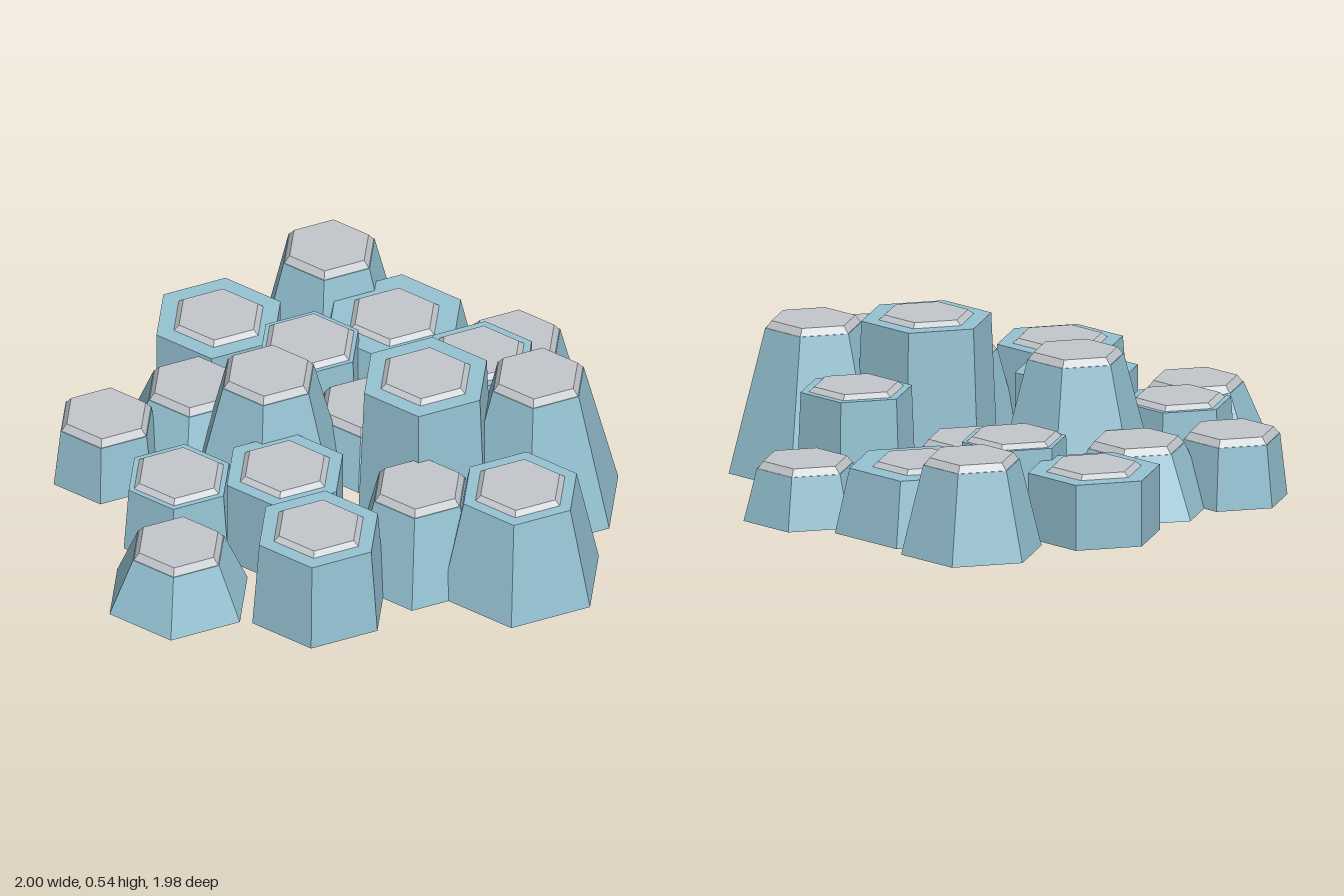
import * as THREE from 'three';

// Hexagonal prism with hard facets, pointed towards +z and -z
function hexPrism(topRadius, baseRadius, height) {
  const geometry = new THREE.CylinderGeometry(topRadius, baseRadius, height, 6).toNonIndexed();
  geometry.computeVertexNormals();
  return geometry;
}

export function createModel() {
  const blueStone = new THREE.MeshStandardMaterial({ color: 0x95c2d2 });
  blueStone.name = 'blueStone';
  const paleStone = new THREE.MeshStandardMaterial({ color: 0xc2c6ca });
  paleStone.name = 'paleStone';

  const CAP_BASE = 0.162, CAP_TOP = 0.143, NARROW = 0.165;

  // One entry per column: x, z, base radius, top radius, total height
  const columns = [
    [-0.36, -0.75, 0.19, NARROW, 0.235],
    [-0.05, -0.615, 0.255, NARROW, 0.235],
    [0.295, -0.765, 0.225, 0.225, 0.24],
    [0.727, -0.626, 0.24, NARROW, 0.325],
    [-0.503, -0.35, 0.2, 0.182, 0.25],
    [-0.782, -0.15, 0.25, NARROW, 0.22],
    [-0.105, -0.273, 0.28, NARROW, 0.465],
    [0.316, -0.41, 0.19, 0.178, 0.28],
    [0.645, -0.3, 0.29, 0.24, 0.235],
    [-0.348, -0.03, 0.21, 0.21, 0.325],
    [0.23, -0.118, 0.235, NARROW, 0.2],
    [0.818, 0.065, 0.21, NARROW, 0.2],
    [-0.555, 0.257, 0.24, 0.215, 0.33],
    [-0.182, 0.4, 0.25, NARROW, 0.34],
    [0.107, 0.215, 0.245, 0.222, 0.54],
    [0.487, 0.16, 0.205, 0.19, 0.375],
    [0.353, 0.497, 0.29, NARROW, 0.513],
    [-0.037, 0.705, 0.285, 0.205, 0.38],
  ];

  const model = new THREE.Group();
  model.name = 'hexagonalRocks';

  for (const [x, z, baseRadius, topRadius, height] of columns) {
    const column = new THREE.Group();
    column.name = 'column';
    column.position.set(x, 0, z);

    // Tapered stone body
    const capHeight = topRadius === NARROW ? 0.024 : 0.016;
    const bodyHeight = height - capHeight;
    const body = new THREE.Mesh(hexPrism(topRadius, baseRadius, bodyHeight), blueStone);
    body.name = 'columnBody';
    body.position.y = bodyHeight / 2;

    // Bevelled pale cap
    const cap = new THREE.Mesh(hexPrism(CAP_TOP, CAP_BASE, capHeight), paleStone);
    cap.name = 'columnCap';
    cap.position.y = bodyHeight + capHeight / 2;

    column.add(body, cap);
    model.add(column);
  }
  return model;
}
